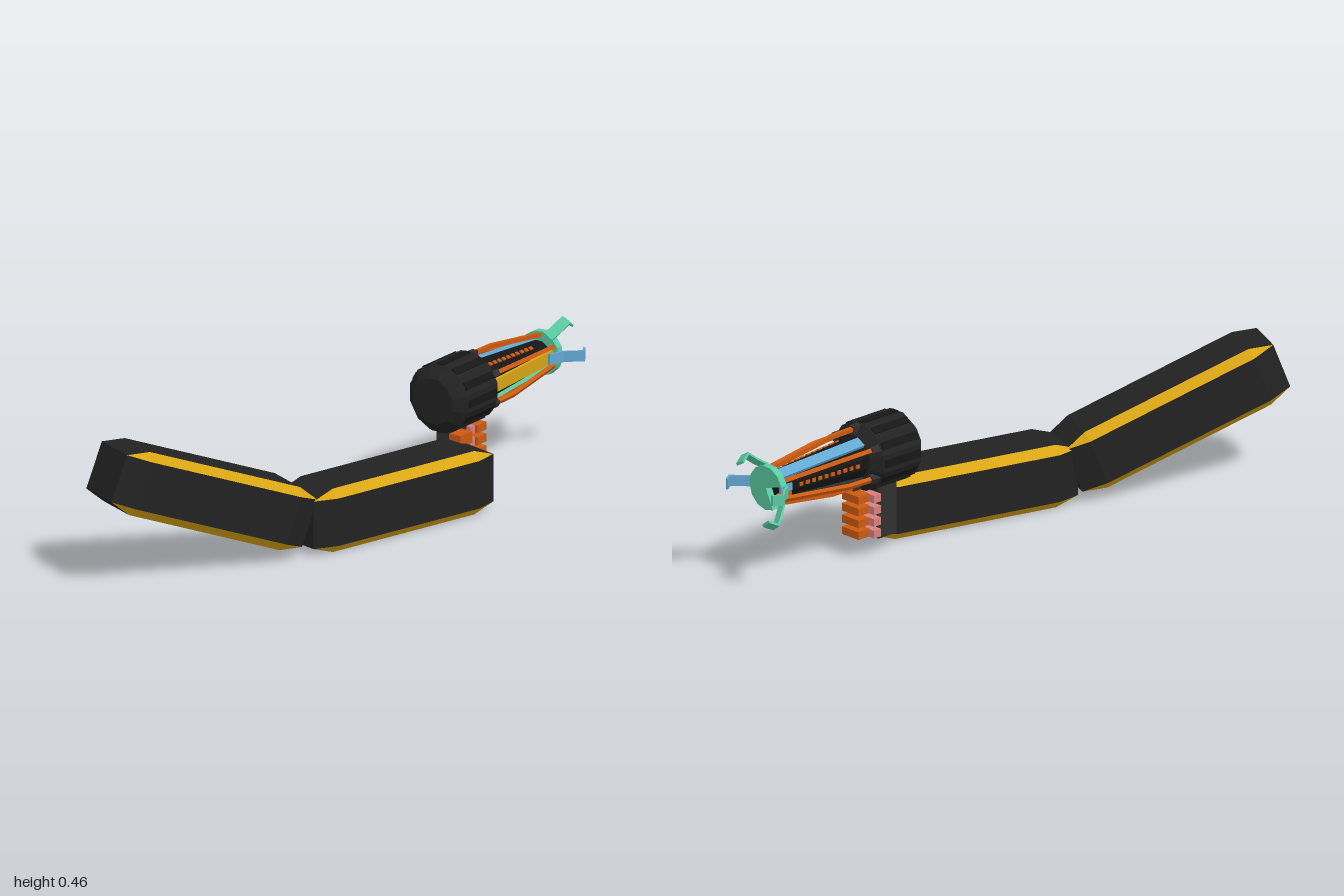
import * as THREE from 'three';

const paint = (name, color) => {
  const m = new THREE.MeshStandardMaterial({ color, flatShading: true, side: THREE.DoubleSide });
  m.name = name;
  return m;
};
const M = {
  body: paint('charcoal', 0x222222),
  black: paint('black', 0x161616),
  grey: paint('dark grey', 0x303030),
  yellow: paint('yellow', 0xd9a514),
  orange: paint('orange', 0xcc5a10),
  pink: paint('pink', 0xd98080),
  blue: paint('blue', 0x62a8d2),
  teal: paint('teal', 0x5acba3),
};

function add(parent, name, geometry, material) {
  const m = new THREE.Mesh(geometry, material);
  m.name = name;
  parent.add(m);
  return m;
}

// Box given by its min and max corners
function block(parent, name, material, a, b) {
  const m = add(parent, name, new THREE.BoxGeometry(b[0] - a[0], b[1] - a[1], b[2] - a[2]), material);
  m.position.set((a[0] + b[0]) / 2, (a[1] + b[1]) / 2, (a[2] + b[2]) / 2);
  return m;
}

// Strip following points in (x, radius), thickness t, given width in z
function band(points, t, width) {
  const up = points.map(([x, y]) => new THREE.Vector2(x, y + t / 2));
  const down = points.map(([x, y]) => new THREE.Vector2(x, y - t / 2)).reverse();
  const g = new THREE.ExtrudeGeometry(new THREE.Shape([...down.reverse(), ...up.reverse()]), { depth: width, bevelEnabled: false });
  return g.translate(0, 0, -width / 2);
}

// Beam with every edge bevelled; the long bevels are yellow
function armSegment(name, from, to, w = 0.107, c = 0.027, taper = 0.08) {
  const a = new THREE.Vector3(...from), b = new THREE.Vector3(...to);
  const length = a.distanceTo(b);
  const ring = (z, full) => {
    const k = w - c, o = full ? w : k, pts = [];
    [[1, 1], [-1, 1], [-1, -1], [1, -1]].forEach(([sx, sy], i) => {
      const side = [sx * o, sy * k, z], top = [sx * k, sy * o, z];
      pts.push(...(i % 2 ? [top, side] : [side, top]));
    });
    return pts;
  };
  const rings = [ring(0, false), ring(taper, true), ring(length - taper, true), ring(length, false)];
  const dark = [], bright = [];
  const quad = (out, p, q, r, s) => out.push(...p, ...q, ...r, ...p, ...r, ...s);
  for (let j = 0; j < 3; j++) {
    for (let i = 0; i < 8; i++) {
      const n = (i + 1) % 8, lo = rings[j], hi = rings[j + 1];
      const out = i % 2 ? dark : bright;
      if (i % 2 || j === 1) quad(out, lo[i], lo[n], hi[n], hi[i]);
      else if (j === 0) out.push(...lo[i], ...hi[n], ...hi[i]);
      else out.push(...lo[i], ...lo[n], ...hi[i]);
    }
  }
  const s = rings[0], e = rings[3];
  quad(dark, s[6], s[4], s[2], s[0]);
  quad(dark, e[0], e[2], e[4], e[6]);
  const d = b.clone().sub(a).normalize();
  const x = new THREE.Vector3(0, 1, 0).cross(d).normalize();
  const basis = new THREE.Matrix4().makeBasis(x, d.clone().cross(x), d).setPosition(a);
  const g = new THREE.Group();
  g.name = name;
  [['Shell', dark, M.body], ['EdgeStripes', bright, M.yellow]].forEach(([part, list, mat]) => {
    const geo = new THREE.BufferGeometry();
    geo.setAttribute('position', new THREE.Float32BufferAttribute(list, 3));
    geo.applyMatrix4(basis);
    geo.computeVertexNormals();
    add(g, name + part, geo, mat);
  });
  return g;
}

function createHand() {
  const hand = new THREE.Group();
  hand.name = 'hand';
  block(hand, 'palm', M.grey, [0.38, 0.05, 0.09], [0.46, 0.222, 0.15]);
  for (let i = 0; i < 4; i++) {
    const y = 0.07 + i * 0.04;
    block(hand, 'finger', M.orange, [0.5, y, 0.088], [0.55, y + 0.026, 0.165]);
    block(hand, 'fingerTip', M.pink, [0.475, y, 0.063], [0.505, y + 0.026, 0.155]);
  }
  block(hand, 'thumb', M.orange, [0.365, 0.185, 0.15], [0.43, 0.223, 0.195]);
  return hand;
}

function createTool() {
  const tool = new THREE.Group();
  tool.name = 'rotaryTool';
  tool.position.set(0, 0.34, 0.12);
  // Turned part along x with twelve flats
  const turned = (name, material, profile) => {
    const g = new THREE.LatheGeometry(profile.map(([x, r]) => new THREE.Vector2(r, x)), 12);
    return add(tool, name, g.rotateY(Math.PI / 12).rotateZ(-Math.PI / 2), material);
  };
  turned('drum', M.body, [[0.315, 0], [0.315, 0.078], [0.35, 0.116], [0.515, 0.116], [0.545, 0.08], [0.545, 0]]);
  turned('barrel', M.black, [[0.54, 0], [0.54, 0.07], [0.9, 0.045], [0.9, 0]]);

  // Everything arranged around the axis: angle runs from up toward the front
  const around = (name, degrees) => {
    const g = new THREE.Group();
    g.name = name;
    g.rotation.x = THREE.MathUtils.degToRad(degrees);
    tool.add(g);
    return g;
  };
  for (let i = 0; i < 12; i++) {
    const g = around('drumFlute', i * 30);
    add(g, 'drumSlot', band([[0.355, 0.112], [0.51, 0.112]], 0.008, 0.026), M.black);
  }
  for (let i = 0; i < 6; i++) {
    const g = around('rodMount', i * 60);
    add(g, 'rod', band([[0.5, 0.1], [0.64, 0.098], [0.92, 0.06]], 0.014, 0.014), M.orange);
    add(g, 'rodSocket', band([[0.515, 0.098], [0.55, 0.098]], 0.024, 0.022), M.grey);
  }
  // Coloured panels along the barrel
  [[90, M.yellow, 0.042], [-30, M.blue, 0.036], [150, M.teal, 0.034], [210, M.grey, 0.03]].forEach(([angle, mat, width]) => {
    add(around('panelMount', angle), 'barrelPanel', band([[0.545, 0.073], [0.9, 0.05]], 0.012, width), mat);
  });
  // Rows of small studs on the dark sides
  [30, 270].forEach((angle) => {
    const g = around('studRow', angle);
    for (let i = 0; i < 10; i++) {
      const x = 0.58 + i * 0.026;
      const r = 0.068 - (x - 0.54) * 0.068;
      add(g, 'stud', band([[x, r], [x + 0.014, r - 0.001]], 0.009, 0.012), M.orange);
    }
  });

  // Muzzle plate with a missing wedge
  const start = THREE.MathUtils.degToRad(17), sweep = THREE.MathUtils.degToRad(279);
  const plate = new THREE.Shape();
  plate.moveTo(0, 0);
  for (let i = 0; i <= 10; i++) {
    const t = start + (sweep * i) / 10;
    plate.lineTo(0.075 * Math.cos(t), 0.075 * Math.sin(t));
  }
  const plateGeo = new THREE.ExtrudeGeometry(plate, { depth: 0.025, bevelEnabled: false });
  add(tool, 'muzzlePlate', plateGeo.rotateY(Math.PI / 2).translate(0.905, 0, 0), M.teal);
  block(tool, 'blueCell', M.blue, [0.86, -0.012, -0.05], [0.91, 0.014, -0.04]);
  block(tool, 'orangeCell', M.orange, [0.86, -0.032, -0.048], [0.915, -0.016, -0.032]);

  // Hooked claws around the muzzle
  [[30, M.teal, 0.122], [218, M.teal, 0.13], [270, M.teal, 0.116]].forEach(([angle, mat, r]) => {
    add(around('clawMount', angle), 'claw', band([[0.9, 0.07], [0.93, r - 0.03], [0.962, r], [0.995, r - 0.02]], 0.009, 0.036), mat);
  });
  add(around('clawMount', 90), 'blueClaw', band([[0.87, 0.062], [0.92, 0.08], [0.965, 0.13], [0.995, 0.112]], 0.009, 0.036), M.blue);
  return tool;
}

export function createModel() {
  const model = new THREE.Group();
  model.name = 'armWithRotaryTool';
  model.add(armSegment('upperArm', [-0.325, 0.115, 0.045], [-0.966, 0.385, -0.245]));
  model.add(armSegment('forearm', [-0.33, 0.1075, 0.05], [0.39, 0.1075, 0.2425]));
  model.add(createHand());
  model.add(createTool());
  return model;
}
